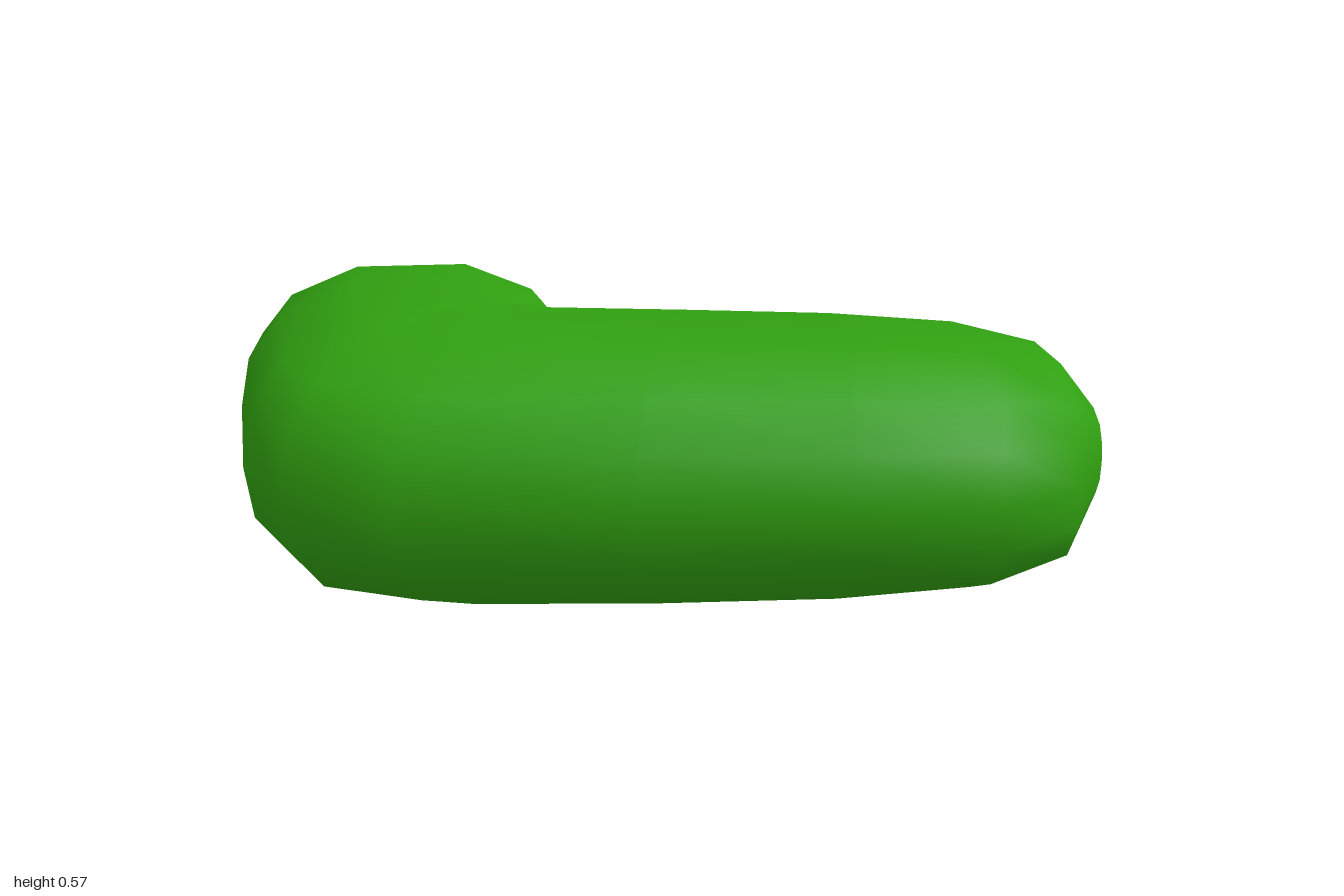
import * as THREE from 'three';

const MID_Y = 0.287;

// Stations from the left-hand tip round the bend to the long arm's tip:
// [inner x, inner z, outer x, outer z, half height]
const STATIONS = [
  [-0.80, -0.44, -0.945, -0.30, 0.10],
  [-0.61, -0.49, -1.00, -0.11, 0.215],
  [-0.42, -0.44, -0.945, 0.09, 0.257],
  [-0.29, -0.33, -0.77, 0.30, 0.275],
  [-0.22, -0.25, -0.42, 0.62, 0.284],
  [-0.19, -0.23, -0.21, 0.72, 0.287],
  [-0.12, -0.26, 0.02, 0.65, 0.286],
  [0.02, -0.37, 0.40, 0.355, 0.282],
  [0.22, -0.53, 0.73, 0.075, 0.274],
  [0.42, -0.675, 0.94, -0.14, 0.255],
  [0.61, -0.725, 1.00, -0.335, 0.215],
  [0.79, -0.68, 0.945, -0.53, 0.10],
];

// Rounded, slightly flattened section: [across, up], outer side first
const quarter = [[1, 0], [0.95, 0.4], [0.76, 0.75], [0.34, 1]];
const upper = [...quarter, ...quarter.slice().reverse().map(([u, v]) => [-u, v])];
const RING = [...upper, ...upper.slice(1, -1).reverse().map(([u, v]) => [u, -v])];

function bentBody() {
  const pos = [], index = [], n = RING.length;
  for (const [ix, iz, ox, oz, h] of STATIONS) {
    for (const [u, v] of RING) {
      const t = (u + 1) / 2;
      pos.push(ix + (ox - ix) * t, MID_Y + v * h, iz + (oz - iz) * t);
    }
  }
  const last = (STATIONS.length - 1) * n;
  const poleA = pos.length / 3, poleB = poleA + 1;
  pos.push(-0.885, MID_Y, -0.382, 0.88, MID_Y, -0.618);
  for (let j = 0; j < n; j++) {
    const k = (j + 1) % n;
    for (let s = 0; s < last; s += n) {
      index.push(s + j, s + n + j, s + k, s + k, s + n + j, s + n + k);
    }
    // Rounded end caps
    index.push(poleA, j, k, poleB, last + k, last + j);
  }
  const geo = new THREE.BufferGeometry();
  geo.setAttribute('position', new THREE.Float32BufferAttribute(pos, 3));
  geo.setIndex(index.filter((v, i, a) => {
    // The duplicated inner seam point is merged by dropping flat triangles
    const f = i - (i % 3);
    return a[f] !== a[f + 1] && a[f + 1] !== a[f + 2] && a[f] !== a[f + 2];
  }));
  geo.computeVertexNormals();
  return geo;
}

export function createModel() {
  const green = new THREE.MeshStandardMaterial({ color: 0x30a010 });
  green.name = 'leafGreen';
  const body = new THREE.Mesh(bentBody(), green);
  body.name = 'bentBody';
  const group = new THREE.Group();
  group.name = 'bentCapsule';
  group.add(body);
  return group;
}
